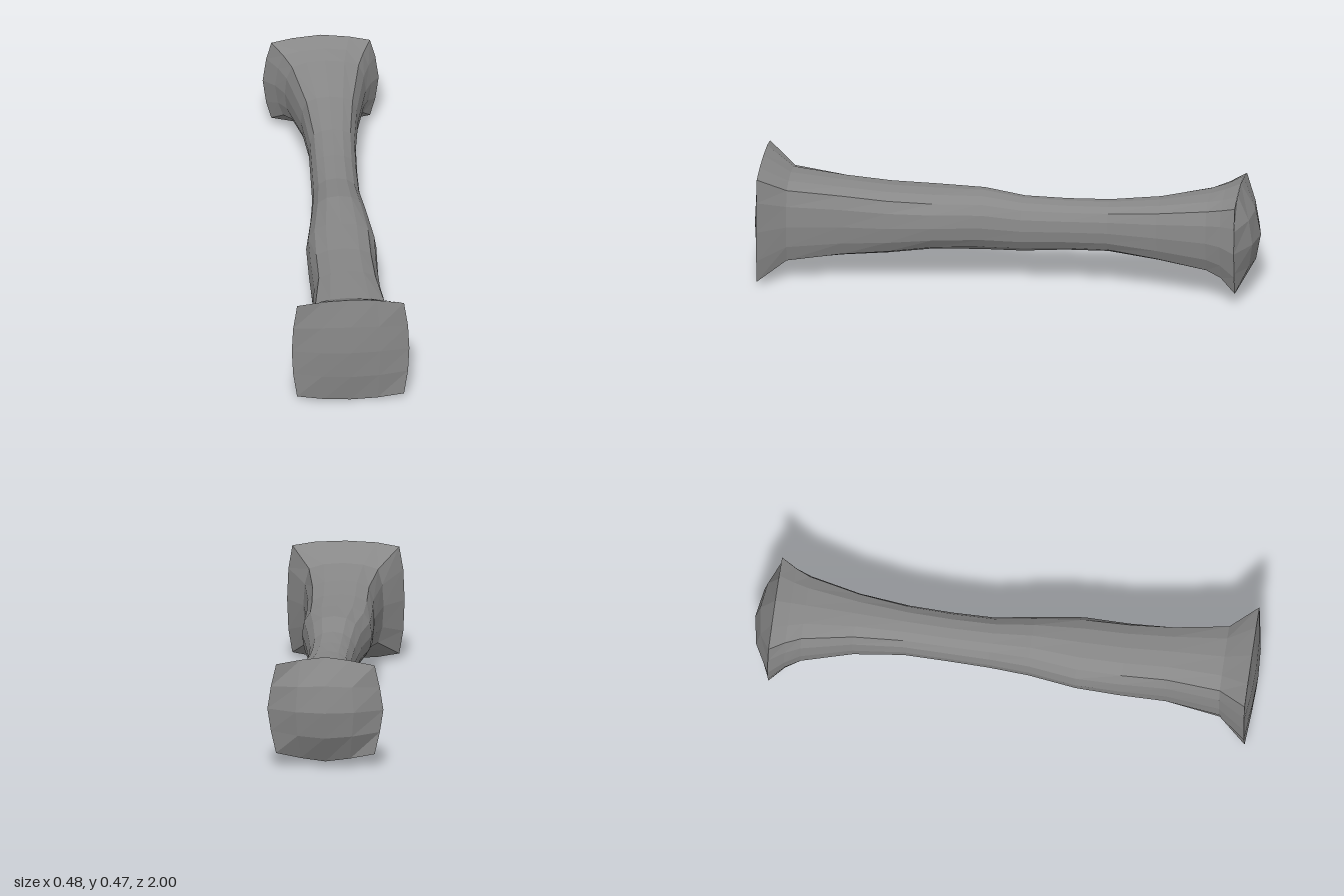
import * as THREE from 'three';

const material = new THREE.MeshStandardMaterial({ color: 0x888888, flatShading: true });

// 16-point rounded-square section; corner is how far its corners reach (1 = full
// square) and bow is how strongly its sides curve
function section([z, left, right, bottom, top, corner, bow = 0.25]) {
  const m = 1 - (1 - corner) * bow;
  const h = 0.54 * corner + 0.03;
  const points = [];
  for (let q = 0; q < 4; q++) {
    for (const [u, v] of [[1, 0], [m, h], [corner, corner], [h, m]]) {
      const [a, b] = [[u, v], [-v, u], [-u, -v], [v, -u]][q];
      points.push([
        (left + right) / 2 + a * (right - left) / 2,
        (bottom + top) / 2 + b * (top - bottom) / 2,
        z,
      ]);
    }
  }
  return points;
}

// Skin rows of points; closed rows join their last point to their first
function skin(name, rows, closed) {
  const positions = [];
  const n = rows[0].length;
  for (let i = 0; i < rows.length - 1; i++) {
    for (let j = 0; j < (closed ? n : n - 1); j++) {
      const k = (j + 1) % n;
      const a = rows[i][j], b = rows[i][k], c = rows[i + 1][k], d = rows[i + 1][j];
      positions.push(...a, ...d, ...c, ...a, ...c, ...b);
    }
  }
  const geometry = new THREE.BufferGeometry();
  geometry.setAttribute('position', new THREE.Float32BufferAttribute(positions, 3));
  geometry.computeVertexNormals();
  const mesh = new THREE.Mesh(geometry, material);
  mesh.name = name;
  return mesh;
}

// 4 x 4 patch spanning a rim and bulging to tipZ, as columns from left to right
function domeColumns(rim, tipZ) {
  const { lerp } = THREE.MathUtils;
  const columns = [];
  for (let i = -2; i <= 2; i++) {
    const column = [];
    for (let j = -2; j <= 2; j++) {
      const u = i / 2, v = j / 2;
      const leftSide = rim[8 - j], rightSide = rim[(j + 16) % 16];
      const topSide = rim[4 - i], bottomSide = rim[12 + i];
      column.push([
        lerp(leftSide[0], rightSide[0], (u + 1) / 2),
        lerp(bottomSide[1], topSide[1], (v + 1) / 2),
        lerp(rim[0][2], tipZ, (1 - u * u) * (1 - v * v)),
      ]);
    }
    columns.push(column);
  }
  return columns;
}

export function createModel() {
  const model = new THREE.Group();
  model.name = 'flaredHandle';

  // z, left, right, bottom, top, corner reach, side bow
  const stations = [
    [0.975, -0.224, 0.24, 0.0, 0.475, 0.91],
    [0.865, -0.147, 0.17, 0.065, 0.41, 0.86],
    [0.65, -0.125, 0.147, 0.09, 0.39, 0.82],
    [0.47, -0.13, 0.143, 0.105, 0.375, 0.79],
    [0.29, -0.132, 0.145, 0.13, 0.372, 0.76],
    [0.1, -0.105, 0.12, 0.132, 0.372, 0.74],
    [-0.06, -0.09, 0.1, 0.13, 0.346, 0.74],
    [-0.23, -0.088, 0.097, 0.143, 0.342, 0.75],
    [-0.4, -0.087, 0.1, 0.148, 0.346, 0.77],
    [-0.6, -0.107, 0.12, 0.125, 0.365, 0.8],
    [-0.8, -0.16, 0.16, 0.098, 0.4, 0.82],
    [-0.86, -0.195, 0.185, 0.075, 0.418, 0.83, 0.35],
    [-0.92, -0.241, 0.217, 0.02, 0.442, 0.85, 0.4],
  ];
  const rings = stations.map(section);
  model.add(skin('shaft', rings, true));

  // Shallow front cap and deeper domed back cap
  model.add(skin('frontCap', domeColumns(rings[0], 1), false));
  model.add(skin('backCap', domeColumns(rings[rings.length - 1], -1).reverse(), false));

  return model;
}
